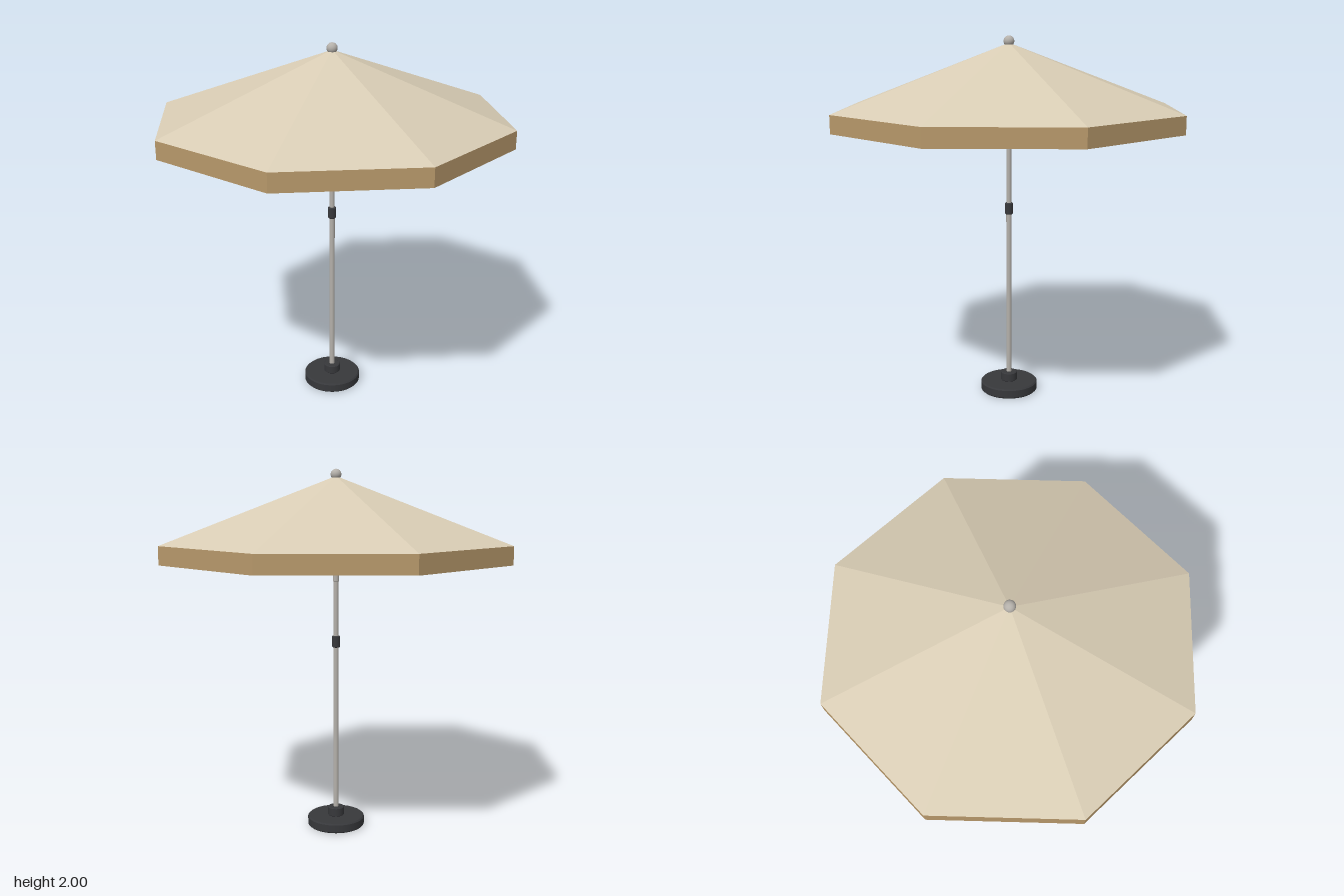
import * as THREE from 'three';

const mat = (color, extra = {}) => {
  const m = new THREE.MeshStandardMaterial({ color });
  return Object.assign(m, extra);
};
const fabric = mat(0xd8ccb4, { flatShading: true });
const lining = mat(0x98917f, { flatShading: true, side: THREE.BackSide });
const trim = mat(0xb8996b, { flatShading: true, side: THREE.DoubleSide });
const metal = mat(0xb4b0aa);
const ribMetal = mat(0x58564f);
const dark = mat(0x37383b);

const SIDES = 8;
const RIM = 0.968; // corner radius of the octagon
const RIM_Y = 1.612;
const APEX_Y = 1.962;

export function createModel() {
  const model = new THREE.Group();

  const add = (name, geometry, material) => {
    const mesh = new THREE.Mesh(geometry, material);
    mesh.name = name;
    model.add(mesh);
    return mesh;
  };

  // Upright cylinder with small bevelled rims, from y0 to y1
  const turned = (name, r, y0, y1, bevel, material, segments = 32) => {
    const outline = [
      [0, y0], [r - bevel, y0], [r, y0 + bevel],
      [r, y1 - bevel], [r - bevel, y1], [0, y1],
    ];
    // Separate lathes per outline edge keep the rims crisp
    const group = new THREE.Group();
    group.name = name;
    for (let i = 0; i < outline.length - 1; i++) {
      const pts = [outline[i], outline[i + 1]].map(([x, y]) => new THREE.Vector2(x, y));
      const part = new THREE.Mesh(new THREE.LatheGeometry(pts, segments), material);
      part.name = name + 'Surface';
      group.add(part);
    }
    model.add(group);
  };

  // Straight bar between two points
  const bar = (name, a, b, radius, sides) => {
    const dir = b.clone().sub(a);
    const mesh = add(name, new THREE.CylinderGeometry(radius, radius, dir.length(), sides), ribMetal);
    mesh.position.copy(a).add(b).multiplyScalar(0.5);
    mesh.quaternion.setFromUnitVectors(new THREE.Vector3(0, 1, 0), dir.normalize());
  };

  // Weighted base and its socket
  turned('base', 0.16, 0, 0.055, 0.007, dark, 48);
  turned('baseSocket', 0.046, 0.055, 0.105, 0.004, dark);

  // Two-part pole with the joint collar
  turned('lowerPole', 0.015, 0.1, 1.06, 0.001, metal, 24);
  turned('upperPole', 0.0135, 1.06, 1.95, 0.001, metal, 24);
  turned('poleCollar', 0.023, 1.03, 1.095, 0.005, dark, 24);

  // Sliding runner and top hub
  turned('runnerSleeve', 0.0165, 1.395, 1.515, 0.001, metal, 24);
  turned('runner', 0.024, 1.43, 1.472, 0.003, metal, 24);
  turned('topHub', 0.024, 1.905, 1.94, 0.003, metal, 24);

  // Octagonal canopy, its lining and the hanging valance
  const slope = (drop) => {
    const h = APEX_Y - RIM_Y;
    const g = new THREE.ConeGeometry(RIM, h, SIDES, 1, true);
    g.rotateY(Math.PI / SIDES);
    g.translate(0, RIM_Y + h / 2 - drop, 0);
    return g;
  };
  add('canopy', slope(0), fabric);
  add('canopyLining', slope(0.003), lining);
  const valance = new THREE.CylinderGeometry(RIM, RIM, 0.097, SIDES, 1, true);
  valance.rotateY(Math.PI / SIDES);
  valance.translate(0, 1.5635, 0);
  add('valance', valance, trim);

  // Ribs under each seam, each held by a strut from the runner
  for (let i = 0; i < SIDES; i++) {
    const angle = ((i + 0.5) / SIDES) * Math.PI * 2;
    const at = (r, y) => new THREE.Vector3(Math.cos(angle) * r, y, Math.sin(angle) * r);
    const ribY = (r) => APEX_Y - 0.014 - ((APEX_Y - RIM_Y) * r) / RIM;
    bar('rib', at(0.015, ribY(0.015)), at(0.955, ribY(0.955)), 0.006, 8);
    bar('strut', at(0.018, 1.445), at(0.45, ribY(0.45)), 0.0045, 8);
  }

  // Ball finial
  const finial = add('finial', new THREE.SphereGeometry(0.029, 32, 20), metal);
  finial.position.y = 1.971;

  return model;
}
